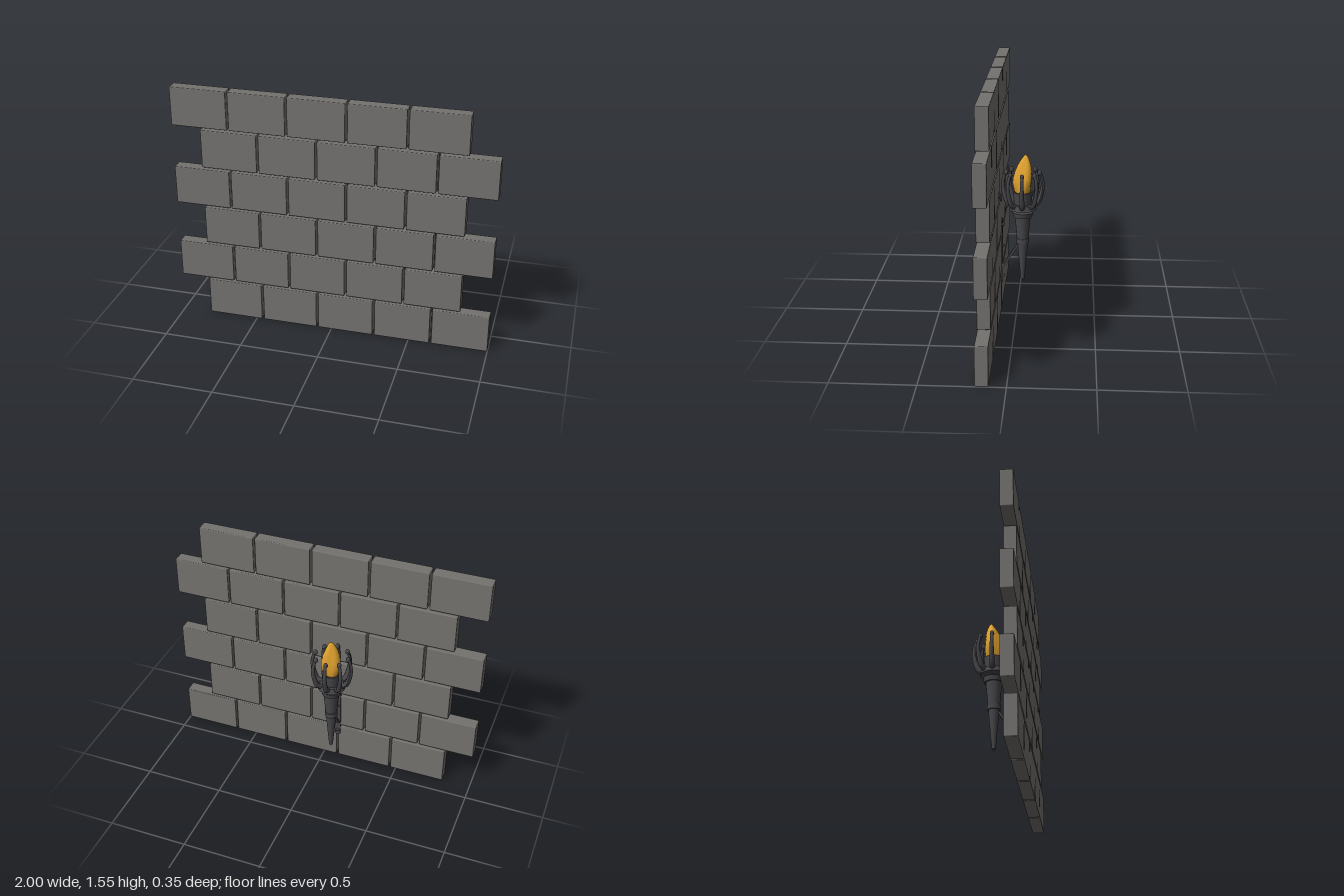
import * as THREE from 'three';
import { RoundedBoxGeometry } from 'three/addons/geometries/RoundedBoxGeometry.js';

const stone = new THREE.MeshStandardMaterial({ color: 0x74726f });
const iron = new THREE.MeshStandardMaterial({ color: 0x47474b, side: THREE.DoubleSide });
const fire = new THREE.MeshStandardMaterial({ color: 0xe5a52f, side: THREE.DoubleSide });

function add(parent, name, geometry, material, x = 0, y = 0, z = 0) {
  const mesh = new THREE.Mesh(geometry, material);
  mesh.name = name;
  mesh.position.set(x, y, z);
  parent.add(mesh);
  return mesh;
}

// Lathe with hard edges between its profile segments
function turned(parent, name, points, sides = 20) {
  const group = new THREE.Group();
  group.name = name;
  for (let i = 0; i < points.length - 1; i++) {
    const pair = [points[i], points[i + 1]].map(([r, y]) => new THREE.Vector2(r, y));
    add(group, name + 'Band', new THREE.LatheGeometry(pair, sides), iron);
  }
  parent.add(group);
}

// Tube whose radius follows a function of the distance along the path
function taperedTube(points, radiusAt, segments = 20, sides = 8) {
  const curve = new THREE.CatmullRomCurve3(points.map(([x, y]) => new THREE.Vector3(x, y, 0)));
  const geo = new THREE.TubeGeometry(curve, segments, 1, sides);
  const p = geo.attributes.position;
  const v = new THREE.Vector3();
  for (let i = 0; i < p.count; i++) {
    const t = Math.floor(i / (sides + 1)) / segments;
    const c = curve.getPointAt(t);
    v.fromBufferAttribute(p, i).sub(c).multiplyScalar(radiusAt(t)).add(c);
    p.setXYZ(i, v.x, v.y, v.z);
  }
  geo.computeVertexNormals();
  return geo;
}

// Flame: closed teardrop with twisting lobes and a leaning tip
function flameGeometry() {
  const profile = [[0.001, 0.75], [0.035, 0.765], [0.052, 0.8], [0.061, 0.85], [0.06, 0.89],
    [0.052, 0.935], [0.039, 0.975], [0.023, 1.01], [0.009, 1.03], [0.001, 1.036]];
  const geo = new THREE.LatheGeometry(profile.map(([r, y]) => new THREE.Vector2(r, y)), 24);
  const p = geo.attributes.position;
  for (let i = 0; i < p.count; i++) {
    const y = p.getY(i);
    const t = (y - 0.75) / 0.286;
    const a = Math.atan2(p.getZ(i), p.getX(i));
    const r = Math.hypot(p.getX(i), p.getZ(i)) * (0.96 + 0.13 * Math.cos(3 * a + 4 * t));
    p.setXYZ(i, r * Math.cos(a), y, r * Math.sin(a) - 0.018 * t * t);
  }
  geo.computeVertexNormals();
  return geo;
}

export function createModel() {
  const model = new THREE.Group();
  model.name = 'wallTorch';

  // Brick wall in running bond
  const wall = new THREE.Group();
  wall.name = 'brickWall';
  model.add(wall);
  const brick = new RoundedBoxGeometry(0.354, 0.247, 0.079, 1, 0.006);
  for (let row = 0; row < 6; row++) {
    for (let i = 0; i < 5; i++) {
      const x = (row % 2 ? -0.823 : -0.641) + i * 0.366;
      add(wall, 'brick', brick, stone, x, 0.1235 + row * 0.2606, 0.1395);
    }
  }

  const torch = new THREE.Group();
  torch.name = 'torch';
  torch.position.set(-0.096, 0, -0.035);
  model.add(torch);

  // Handle with collar and rim
  turned(torch, 'handle', [[0, 0.185], [0.006, 0.2], [0.012, 0.205], [0.034, 0.45], [0.05, 0.63]]);
  turned(torch, 'collar', [[0.03, 0.45], [0.041, 0.452], [0.041, 0.485], [0.03, 0.487]]);
  turned(torch, 'handleRim', [[0.045, 0.63], [0.06, 0.63], [0.066, 0.661], [0, 0.661]]);

  // Fire bowl
  turned(torch, 'bowlBase', [[0, 0.681], [0.087, 0.681], [0.076, 0.715], [0.05, 0.715]]);
  turned(torch, 'bowl', [[0.055, 0.715], [0.063, 0.795], [0.054, 0.795], [0.046, 0.75], [0, 0.75]]);
  add(torch, 'flame', flameGeometry(), fire);

  // Curved prongs with bulbed tips
  const prong = taperedTube(
    [[0.062, 0.7], [0.095, 0.722], [0.118, 0.785], [0.126, 0.845], [0.117, 0.895], [0.105, 0.925]],
    t => 0.018 - 0.009 * t);
  const bulb = new THREE.SphereGeometry(0.014, 10, 8).scale(1, 1.3, 1);
  for (let i = 0; i < 8; i++) {
    const arm = new THREE.Group();
    arm.name = 'prong';
    arm.rotation.y = i * Math.PI / 4;
    add(arm, 'prongStem', prong, iron);
    add(arm, 'prongTip', bulb, iron, 0.106, 0.918);
    torch.add(arm);
  }

  // Wall bracket: plate, rivets and strut
  const bracket = new THREE.Group();
  bracket.name = 'bracket';
  bracket.position.x = -0.096;
  model.add(bracket);
  add(bracket, 'plate', new THREE.BoxGeometry(0.036, 0.4, 0.01), iron, 0, 0.4, 0.097);
  const disc = new THREE.CylinderGeometry(0.018, 0.018, 0.01, 16).rotateX(Math.PI / 2);
  for (const y of [0.2, 0.6]) add(bracket, 'plateEnd', disc, iron, 0, y, 0.097);
  const rivet = new THREE.SphereGeometry(0.01, 10, 8);
  for (const y of [0.225, 0.43, 0.575]) add(bracket, 'rivet', rivet, iron, 0, y, 0.089);
  const from = new THREE.Vector3(0, 0.285, 0.094);
  const to = new THREE.Vector3(0, 0.455, -0.015);
  const strut = add(bracket, 'strut', new THREE.BoxGeometry(0.022, 0.014, from.distanceTo(to)), iron);
  strut.position.copy(from).lerp(to, 0.5);
  strut.lookAt(new THREE.Vector3(0, to.y, to.z));
  strut.rotation.set(Math.atan2(to.y - from.y, from.z - to.z), 0, 0);

  return model;
}
